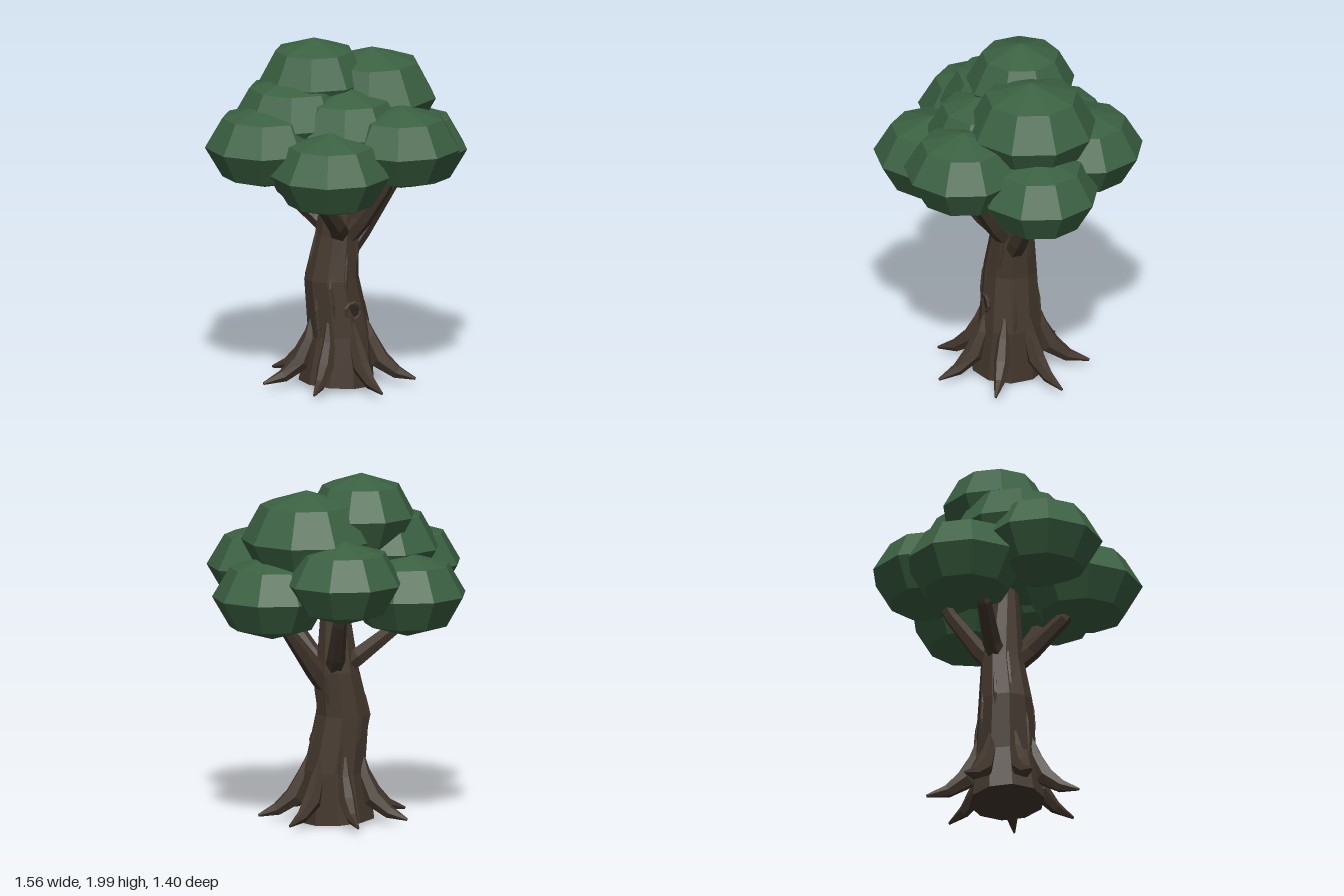
import * as THREE from 'three';

const bark = new THREE.MeshStandardMaterial({ color: 0x43372d, flatShading: true });
const darkWood = new THREE.MeshStandardMaterial({ color: 0x2c241e, flatShading: true });
const leaf = new THREE.MeshStandardMaterial({ color: 0x3b6142, flatShading: true });

// Capped, faceted limb through stations [x, y, z, radius]; squash narrows it sideways
function limb(name, stations, sides, squash = 1) {
  const pts = stations.map(([x, y, z]) => new THREE.Vector3(x, y, z));
  const last = pts.length - 1;
  const run = pts[last].clone().sub(pts[0]);
  const ref = new THREE.Vector3(-run.z, 0, run.x);
  if (ref.length() < 0.1) ref.set(0, 0, 1);
  const rings = pts.map((p, i) => {
    const t = pts[Math.min(i + 1, last)].clone().sub(pts[Math.max(i - 1, 0)]).normalize();
    const a = ref.clone().addScaledVector(t, -ref.dot(t)).normalize();
    const b = t.clone().cross(a);
    const r = stations[i][3];
    return Array.from({ length: sides }, (_, j) => {
      const ang = (j / sides) * Math.PI * 2;
      return p.clone().addScaledVector(a, Math.cos(ang) * r * squash).addScaledVector(b, Math.sin(ang) * r);
    });
  });
  const tris = [];
  for (let j = 0; j < sides; j++) {
    const k = (j + 1) % sides;
    for (let i = 0; i < last; i++) {
      const [p, q, s, u] = [rings[i][j], rings[i][k], rings[i + 1][k], rings[i + 1][j]];
      tris.push(p, q, s, p, s, u);
    }
    tris.push(pts[0], rings[0][k], rings[0][j], pts[last], rings[last][j], rings[last][k]);
  }
  const geo = new THREE.BufferGeometry().setFromPoints(tris);
  geo.computeVertexNormals();
  const mesh = new THREE.Mesh(geo, bark);
  mesh.name = name;
  return mesh;
}

// Gently bent trunk
const TRUNK = [
  [-0.015, 0.02, 0, 0.215],
  [0.005, 0.3, 0, 0.178],
  [-0.035, 0.62, -0.02, 0.155],
  [0.0, 0.87, -0.02, 0.125],
  [0.005, 1.25, 0, 0.08],
  [0, 1.5, 0, 0.05],
];

// Centre and radius of the trunk at a height
function trunkAt(y) {
  let i = 0;
  while (i < TRUNK.length - 2 && TRUNK[i + 1][1] < y) i++;
  const f = (y - TRUNK[i][1]) / (TRUNK[i + 1][1] - TRUNK[i][1]);
  return TRUNK[i].map((v, k) => v + (TRUNK[i + 1][k] - v) * f);
}

// Point on the trunk's skin at a height and angle, with a station radius
function onTrunk(y, angle, lift, r) {
  const [cx, , cz, cr] = trunkAt(y);
  return [cx + Math.cos(angle) * (cr + lift), y, cz + Math.sin(angle) * (cr + lift), r];
}

export function createModel() {
  const tree = new THREE.Group();
  tree.name = 'tree';
  tree.add(limb('trunk', TRUNK, 10));

  // Seven flared roots
  const roots = new THREE.Group();
  roots.name = 'roots';
  for (let i = 0; i < 7; i++) {
    const a = THREE.MathUtils.degToRad(-19 + (i * 360) / 7);
    const at = (d, y, r) => [Math.cos(a) * d, y, Math.sin(a) * d, r];
    const tip = 0.45 - 0.015 * (i % 2);
    roots.add(limb('root', [
      onTrunk(0.4, a, -0.02, 0.012), at(0.17, 0.28, 0.045), at(0.23, 0.15, 0.06),
      at(0.33, 0.075, 0.038), at(tip, 0.04, 0.008),
    ], 6, 0.8));
  }
  tree.add(roots);

  // Raised bark strips
  const strips = new THREE.Group();
  strips.name = 'barkStrips';
  for (let i = 0; i < 10; i++) {
    const a = (i + 0.35) * Math.PI / 5;
    const y = 0.26 + 0.13 * ((i * 3) % 4);
    strips.add(limb('barkStrip', [
      onTrunk(y, a, -0.012, 0.004), onTrunk(y + 0.1, a, -0.006, 0.013),
      onTrunk(y + 0.2, a, -0.006, 0.012), onTrunk(y + 0.3, a, -0.012, 0.004),
    ], 5));
  }
  tree.add(strips);

  // Knot ring with a dark hollow on the front
  const knot = new THREE.Group();
  knot.name = 'knot';
  const rim = new THREE.Mesh(new THREE.TorusGeometry(0.046, 0.012, 5, 9), bark);
  rim.name = 'knotRim';
  const hollow = new THREE.Mesh(new THREE.CylinderGeometry(0.044, 0.044, 0.05, 9), darkWood);
  hollow.name = 'knotHollow';
  hollow.rotation.x = Math.PI / 2;
  hollow.position.z = -0.022;
  knot.add(rim, hollow);
  knot.position.set(0.015, 0.455, 0.15);
  tree.add(knot);

  // Elbowed branches in front and back pairs, and one straight side branch
  const branches = new THREE.Group();
  branches.name = 'branches';
  for (const s of [1, -1]) {
    branches.add(limb('rightBranch', [
      [-0.02, 0.89, s * 0.05, 0.06], [-0.075, 0.96, s * 0.125, 0.055],
      [-0.23, 1.12, s * 0.25, 0.042], [-0.28, 1.25, s * 0.33, 0.03]], 6));
    branches.add(limb('leftBranch', [
      [0.04, 0.88, s * 0.05, 0.06], [0.085, 0.97, s * 0.125, 0.052],
      [0.16, 1.18, s * 0.26, 0.04], [0.2, 1.34, s * 0.34, 0.03]], 6));
  }
  branches.add(limb('sideBranch', [
    [0.05, 0.76, 0, 0.055], [0.14, 0.88, 0, 0.058], [0.34, 1.13, 0, 0.036], [0.43, 1.25, 0, 0.028]], 6));
  tree.add(branches);

  // Flattened leaf clumps: x, y, z, radius, half height
  const crown = new THREE.Group();
  crown.name = 'crown';
  const clumps = [
    [0.44, 1.33, 0, 0.34, 0.24],
    [-0.465, 1.44, 0, 0.34, 0.24],
    [0.21, 1.44, 0.365, 0.34, 0.24],
    [0.21, 1.44, -0.365, 0.34, 0.24],
    [-0.235, 1.33, 0.365, 0.34, 0.24],
    [-0.235, 1.33, -0.365, 0.34, 0.24],
    [-0.02, 1.52, 0.15, 0.33, 0.24],
    [-0.25, 1.56, -0.06, 0.36, 0.26],
    [0.23, 1.645, -0.04, 0.37, 0.28],
    [-0.1, 1.76, -0.11, 0.31, 0.24],
  ];
  const ball = new THREE.SphereGeometry(1, 9, 4).rotateY(Math.PI);
  for (const [x, y, z, r, h] of clumps) {
    const clump = new THREE.Mesh(ball, leaf);
    clump.name = 'leafClump';
    clump.position.set(x, y, z);
    clump.scale.set(r, h, r);
    crown.add(clump);
  }
  tree.add(crown);
  return tree;
}
